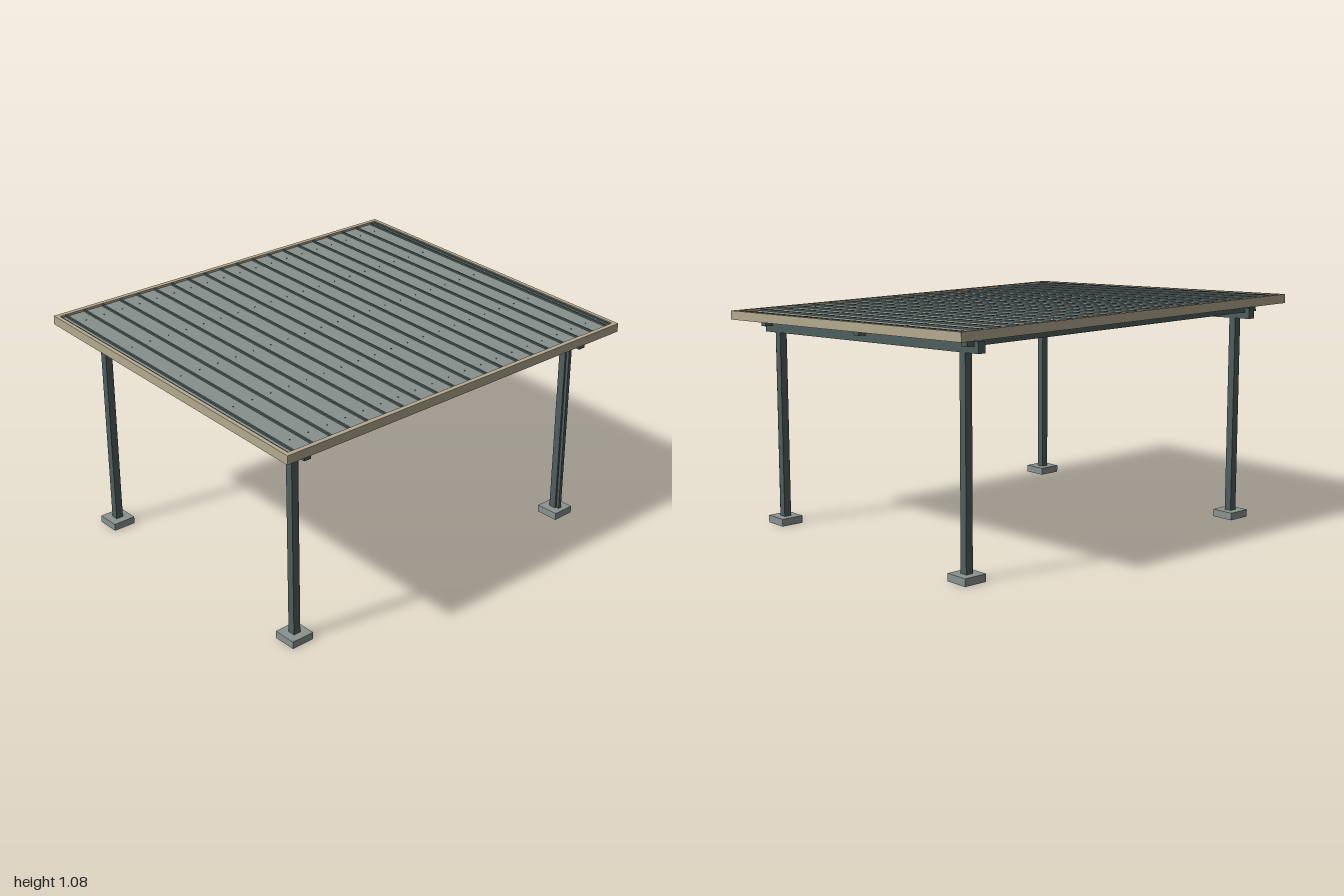
import * as THREE from 'three';

const material = (name, color) => {
  const m = new THREE.MeshStandardMaterial({ color });
  m.name = name;
  return m;
};

export function createModel() {
  const steel = material('dark steel', 0x4e5e5d);
  const sheet = material('roof sheet', 0x87918c);
  const concrete = material('concrete', 0x8a9490);
  const trim = material('beige trim', 0xb5aa90);

  const model = new THREE.Group();
  model.name = 'carport';

  const box = (parent, name, mat, size, pos) => {
    const mesh = new THREE.Mesh(new THREE.BoxGeometry(...size), mat);
    mesh.name = name;
    mesh.position.set(...pos);
    parent.add(mesh);
    return mesh;
  };

  // Footings and posts; the back posts are taller to meet the slope
  for (const x of [-0.836, 0.836]) {
    for (const z of [-0.667, 0.667]) {
      const top = z > 0 ? 0.93 : 0.985;
      box(model, 'footing', concrete, [0.114, 0.035, 0.114], [x, 0.0175, z]);
      box(model, 'post', steel, [0.036, top - 0.03, 0.036], [x, (top + 0.03) / 2, z]);
    }
  }

  // Narrow drain pipe on the front of one post
  box(model, 'drainPipe', steel, [0.017, 0.935, 0.016], [0.836, 0.5025, 0.692]);

  // Everything above the posts shares one pitch, rising to the back
  const roof = new THREE.Group();
  roof.name = 'roof';
  roof.position.y = 1;
  roof.rotation.x = 0.0405;
  model.add(roof);

  // Rafters along the sides, purlins across them
  for (const x of [-0.836, 0.836]) {
    box(roof, 'rafter', steel, [0.037, 0.051, 1.536], [x, -0.032, 0.001]);
  }
  for (const z of [-0.726, 0, 0.726]) {
    box(roof, 'purlin', steel, [1.79, 0.037, 0.036], [0, -0.0085, z]);
  }

  // Roof sheet with standing ribs
  box(roof, 'roofSheet', sheet, [1.964, 0.026, 1.634], [0, 0.025, 0]);
  for (let i = 0; i < 20; i++) {
    box(roof, 'rib', steel, [0.009, 0.01, 1.626], [-0.947 + i * (1.894 / 19), 0.041, 0]);
  }
  for (const x of [-0.977, 0.977]) {
    box(roof, 'edgeRib', steel, [0.009, 0.009, 1.626], [x, 0.0405, 0]);
  }

  // Small screws through the sheet, between the ribs
  const screwShape = new THREE.CylinderGeometry(0.003, 0.003, 0.031, 6);
  for (let i = 0; i < 19; i++) {
    for (const z of [-0.726, -0.363, 0, 0.363, 0.726]) {
      const screw = new THREE.Mesh(screwShape, steel);
      screw.name = 'screw';
      screw.position.set(-0.947 + (i + 0.5) * (1.894 / 19), 0.025, z);
      roof.add(screw);
    }
  }

  // Fascia boards around the edge
  for (const s of [-1, 1]) {
    box(roof, 'endFascia', trim, [2, 0.042, 0.022], [0, 0.028, s * 0.825]);
    box(roof, 'sideFascia', trim, [0.02, 0.042, 1.628], [s * 0.99, 0.028, 0]);
  }

  return model;
}
